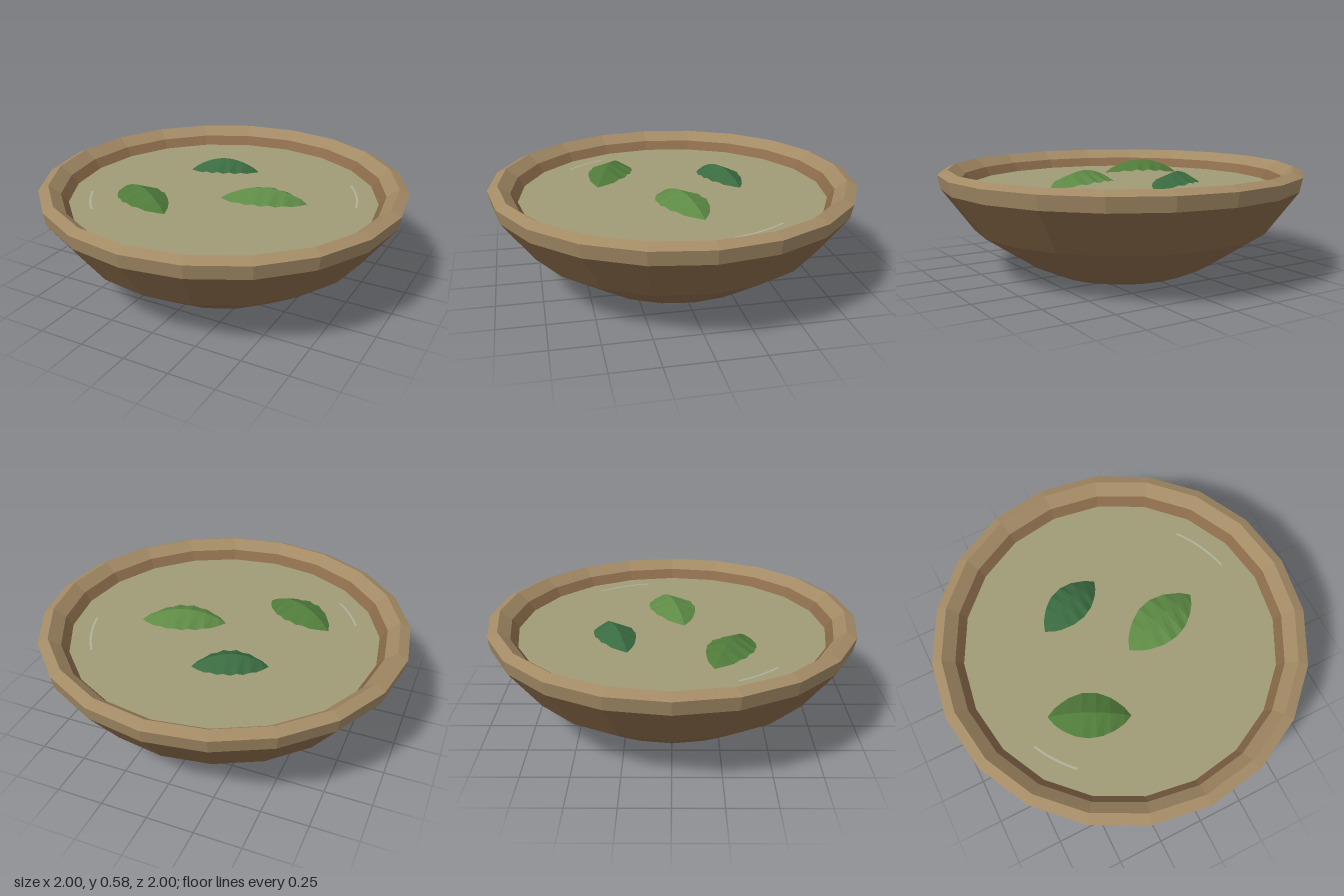
import * as THREE from 'three';

const SIDES = 20;
const SOUP_Y = 0.48;
const mat = (color, side = THREE.FrontSide) =>
  new THREE.MeshStandardMaterial({ color, flatShading: true, side });

function add(parent, name, geometry, material) {
  const mesh = new THREE.Mesh(geometry, material);
  mesh.name = name;
  parent.add(mesh);
  return mesh;
}

const lathe = (profile) =>
  new THREE.LatheGeometry(profile.map(([r, y]) => new THREE.Vector2(r, y)), SIDES);

// Pointed leaf along x: arched midrib, drooping rippled edges
function leafGeometry(length, halfWidth) {
  const steps = 12;
  const pos = [], index = [];
  for (let i = 0; i <= steps; i++) {
    const t = i / steps;
    const s = Math.sin(Math.PI * t);
    const x = (t - 0.5) * length;
    const w = halfWidth * Math.pow(Math.max(s, 0), 0.75);
    const ripple = (i % 2 ? 0.005 : -0.005) * s;
    const edgeY = 0.006 + 0.027 * s + ripple;
    pos.push(x, edgeY, -w, x, 0.006 + 0.08 * Math.pow(Math.max(s, 0), 0.8), 0, x, edgeY, w);
    if (i === steps) break;
    for (let j = 0; j < 2; j++) {
      const a = i * 3 + j, b = a + 1, c = a + 3, d = a + 4;
      index.push(a, b, c, b, d, c);
    }
  }
  const g = new THREE.BufferGeometry();
  g.setAttribute('position', new THREE.Float32BufferAttribute(pos, 3));
  g.setIndex(index);
  g.computeVertexNormals();
  return g;
}

export function createModel() {
  const root = new THREE.Group();
  root.name = 'soupBowl';

  // Bowl: outer wall, lip and inner wall
  const wood = mat(0x8a6b4a);
  add(root, 'bowlBody', lathe([[0, 0], [0.4, 0], [0.53, 0.06], [0.815, 0.25], [0.985, 0.48]]), wood);
  add(root, 'bowlRim', lathe([[0.985, 0.48], [1, 0.555], [0.945, 0.58], [0.882, 0.53]]), mat(0xa38a65));
  add(root, 'innerWall', lathe([[0.882, 0.53], [0.845, SOUP_Y], [0.82, 0.44]]), wood);

  // Soup surface
  const soup = add(root, 'soup', new THREE.CircleGeometry(0.847, SIDES), mat(0xa09c76));
  soup.rotation.x = -Math.PI / 2;
  soup.position.y = SOUP_Y;

  // Thin curved glints on the soup: start angle and sweep
  const glintMat = mat(0xadb09a, THREE.DoubleSide);
  for (const [start, sweep] of [[12, 25], [206, 20]]) {
    const rad = THREE.MathUtils.degToRad;
    const glint = add(root, 'glint', new THREE.RingGeometry(0.724, 0.736, 10, 1, rad(start), rad(sweep)), glintMat);
    glint.rotation.x = -Math.PI / 2;
    glint.position.y = SOUP_Y + 0.005;
  }

  // Floating leaves: tip to tip in x and z, half width, color
  const leaves = [
    [-0.34, -0.23, 0.03, -0.38, 0.108, 0x3a6b40],
    [0.02, 0.07, 0.47, -0.07, 0.128, 0x5d8a45],
    [-0.53, 0.21, -0.135, 0.4, 0.122, 0x4f7a3a],
  ];
  for (const [x0, z0, x1, z1, halfWidth, color] of leaves) {
    const geometry = leafGeometry(Math.hypot(x1 - x0, z1 - z0), halfWidth);
    const leaf = add(root, 'leaf', geometry, mat(color, THREE.DoubleSide));
    leaf.position.set((x0 + x1) / 2, SOUP_Y, (z0 + z1) / 2);
    leaf.rotation.y = -Math.atan2(z1 - z0, x1 - x0);
  }
  return root;
}
